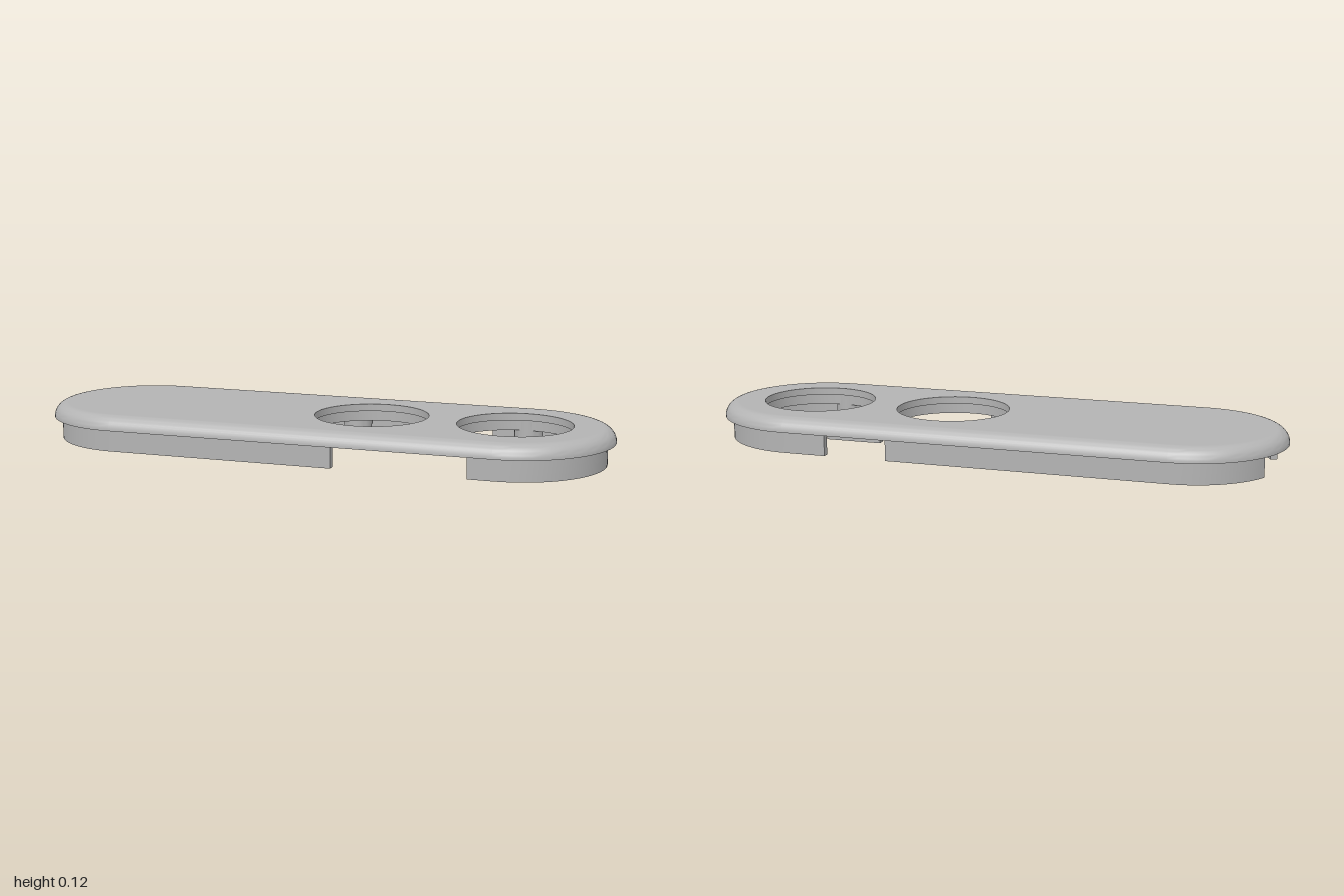
import * as THREE from 'three';
import { toCreasedNormals } from 'three/addons/utils/BufferGeometryUtils.js';

const SPINE = 0.667;          // x of the two end-arc centres
const CEILING = 0.1, TOP = 0.125, LIP = 0.077;
const HOLES = [0.165, 0.665];

// stations [centre x, outward angle] around an end arc
function arc(cx, from, to, n = 32) {
  return Array.from({ length: n + 1 }, (_, i) => [cx, from + (to - from) * i / n]);
}

// sweep a counter-clockwise (radius, y) profile along stations, capped unless closed
function sweep(profile, stations, closed) {
  const pos = [], index = [], n = profile.length;
  for (const [cx, a] of stations)
    for (const [r, y] of profile) pos.push(cx + r * Math.cos(a), y, r * Math.sin(a));
  for (let i = 0; i < stations.length - 1; i++)
    for (let j = 0; j < n; j++) {
      const k = (j + 1) % n, a = i * n, b = a + n;
      index.push(a + j, b + j, b + k, a + j, b + k, a + k);
    }
  if (!closed) {
    const e = (stations.length - 1) * n;
    for (let j = 1; j < n - 1; j++) index.push(0, j, j + 1, e, e + j + 1, e + j);
  }
  const g = new THREE.BufferGeometry();
  g.setAttribute('position', new THREE.Float32BufferAttribute(pos, 3));
  g.setIndex(index);
  return toCreasedNormals(g, 0.5);
}

// revolve a closed (radius, y) profile
function revolve(profile, segments) {
  const pts = [...profile, profile[0]].map(([r, y]) => new THREE.Vector2(r, y));
  return toCreasedNormals(new THREE.LatheGeometry(pts, segments), 0.5);
}

export function createModel() {
  const group = new THREE.Group();
  const grey = new THREE.MeshStandardMaterial({ color: 0xb3b3b3 });
  grey.name = 'grey plastic';
  const add = (name, geometry, x = 0, y = 0, z = 0) => {
    const m = new THREE.Mesh(geometry, grey);
    m.name = name;
    m.position.set(x, y, z);
    group.add(m);
  };
  const H = Math.PI / 2;

  // flat top plate with two round openings
  const shape = new THREE.Shape();
  shape.absarc(SPINE, 0, 0.28, -H, H, false);
  shape.absarc(-SPINE, 0, 0.28, H, 3 * H, false);
  for (const x of HOLES) shape.holes.push(new THREE.Path().absarc(x, 0, 0.195, 0, Math.PI * 2, true));
  const plate = new THREE.ExtrudeGeometry(shape, { depth: TOP - CEILING, bevelEnabled: false, curveSegments: 32 });
  plate.rotateX(-H).translate(0, CEILING, 0);
  add('topPlate', toCreasedNormals(plate, 0.5));

  // rounded outer rim
  const rim = [[0.28, LIP]];
  for (let i = 0; i <= 10; i++) {
    const a = H * i / 10;
    rim.push([0.285 + 0.048 * Math.cos(a), LIP + 0.048 * Math.sin(a)]);
  }
  rim.push([0.28, TOP]);
  add('roundedRim', sweep(rim, [...arc(SPINE, H, -H), ...arc(-SPINE, -H, -3 * H), [SPINE, H]], true));

  // skirt wall in three runs, leaving gaps at front, back and one end
  const wall = [[0.28, 0], [0.305, 0], [0.305, 0.08], [0.28, 0.08]];
  const gap = 0.433;
  add('frontWall', sweep(wall, [...arc(-SPINE, Math.PI - gap, H, 20), [0.12, H]]));
  add('endWall', sweep(wall, [[0.58, H], ...arc(SPINE, H, -H), [0.52, -H]]));
  add('backWall', sweep(wall, [[0.3, -H], ...arc(-SPINE, -H, gap - Math.PI, 20)]));

  // catch strip in the back gap
  add('backCatch', new THREE.BoxGeometry(0.19, 0.044, 0.025), 0.415, 0.08, -0.285);

  // collars under the openings
  const collar = revolve([[0.205, 0.064], [0.22, 0.064], [0.22, 0.102], [0.205, 0.102]], 64);
  for (const x of HOLES) add('openingCollar', collar, x);

  // screw bosses with blind holes
  const boss = revolve([[0, 0.06], [0.018, 0.06], [0.018, 0.015], [0.05, 0.015], [0.05, 0.102], [0, 0.102]], 28);
  for (const x of [0.655, 0.035, -0.59])
    for (const z of [-0.25, 0.25]) add('screwBoss', boss, x, 0, z);

  return group;
}
